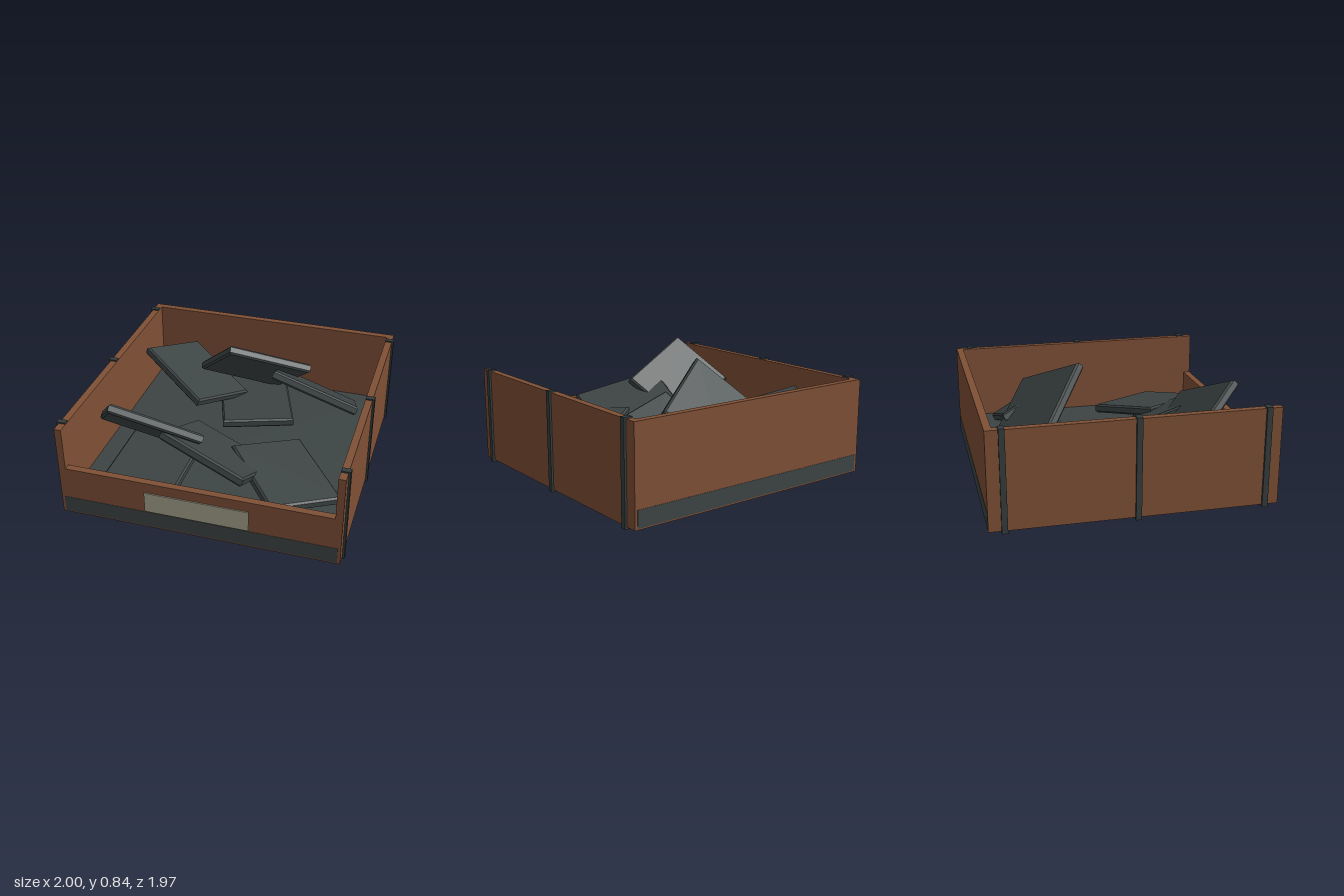
import * as THREE from 'three';

const material = (name, color) => {
  const m = new THREE.MeshStandardMaterial({ color });
  m.name = name;
  return m;
};

export function createModel() {
  const model = new THREE.Group();
  model.name = 'slabCrate';
  const wood = material('brown wood', 0x7f5036);
  const slate = material('slate grey', 0x3d4444);
  const iron = material('dark iron', 0x353c3d);
  const paper = material('pale label', 0xa5a38e);

  // Box given by its lower and upper limits on each axis
  function box(name, mat, [x0, x1], [y0, y1], [z0, z1]) {
    const mesh = new THREE.Mesh(new THREE.BoxGeometry(x1 - x0, y1 - y0, z1 - z0), mat);
    mesh.position.set((x0 + x1) / 2, (y0 + y1) / 2, (z0 + z1) / 2);
    mesh.name = name;
    model.add(mesh);
  }

  // Walls: the front one is low
  box('backWall', wood, [-0.985, 0.985], [0.015, 0.7], [-0.985, -0.935]);
  box('frontWall', wood, [-0.935, 0.935], [0.015, 0.385], [0.925, 0.975]);
  box('leftWall', wood, [0.935, 0.985], [0.015, 0.7], [-0.935, 0.975]);
  box('rightWall', wood, [-0.985, -0.935], [0.015, 0.7], [-0.935, 0.975]);

  // Floor shows as a band through the front and back walls
  box('floor', slate, [-0.965, 0.965], [0.025, 0.145], [-0.987, 0.977]);
  box('underside', slate, [-0.965, 0.965], [0.012, 0.025], [-0.965, 0.955]);

  // Blank label plate
  box('labelPlate', paper, [-0.365, 0.365], [0.155, 0.31], [0.977, 0.985]);

  // Upright straps on both sides
  for (const side of [-1, 1]) {
    for (const z of [-0.88, 0, 0.88]) {
      const xs = [side * 0.937, side].sort((a, b) => a - b);
      box('strap', iron, xs, [0, 0.71], [z - 0.02, z + 0.02]);
    }
  }

  // One chamfered slab shape, lying in its own xy plane and centred
  const W = 0.68, H = 0.54, T = 0.066, B = 0.013;
  const w = W / 2 - B, h = H / 2 - B;
  const outline = new THREE.Shape([
    new THREE.Vector2(-w, -h), new THREE.Vector2(w, -h),
    new THREE.Vector2(w, h), new THREE.Vector2(-w, h),
  ]);
  const slabGeometry = new THREE.ExtrudeGeometry(outline, {
    depth: T - 2 * B, bevelEnabled: true, bevelThickness: B, bevelSize: B, bevelSegments: 1,
  });
  slabGeometry.center();

  // Slabs: a top corner, then the ends of its long edge and its short edge
  const slabs = [
    [[-0.68, 0.83, 0.75], [-0.08, 0.58, 0.58], [-0.9, 0.48, 0.36]],
    [[-0.12, 0.85, -0.21], [0.42, 0.6, -0.53], [-0.43, 0.5, -0.5]],
    [[0.2, 0.66, -0.26], [0.85, 0.44, -0.27], [0.12, 0.41, -0.745]],
    [[0.28, 0.44, 0.81], [-0.36, 0.59, 0.63], [0.38, 0.24, 0.32]],
    [[-0.89, 0.59, -0.47], [-0.33, 0.4, -0.1], [-0.62, 0.45, -0.9]],
    [[0.08, 0.39, 0.38], [0.5, 0.33, 0.91], [0.48, 0.31, 0.05]],
    [[-0.755, 0.23, 0.14], [-0.755, 0.23, 0.82], [-0.225, 0.23, 0.14]],
    [[-0.36, 0.25, -0.73], [-0.14, 0.25, -0.1], [0.14, 0.25, -0.9]],
  ];
  for (const corners of slabs) {
    const [p, q, r] = corners.map((c) => new THREE.Vector3(...c));
    const long = q.clone().sub(p).normalize();
    const normal = long.clone().cross(r.clone().sub(p)).normalize();
    if (normal.y < 0) normal.negate();
    const short = normal.clone().cross(long);
    const slab = new THREE.Mesh(slabGeometry, slate);
    slab.quaternion.setFromRotationMatrix(new THREE.Matrix4().makeBasis(long, short, normal));
    slab.position.copy(q).add(r).multiplyScalar(0.5).addScaledVector(normal, -T / 2);
    slab.name = 'slab';
    model.add(slab);
  }
  return model;
}
